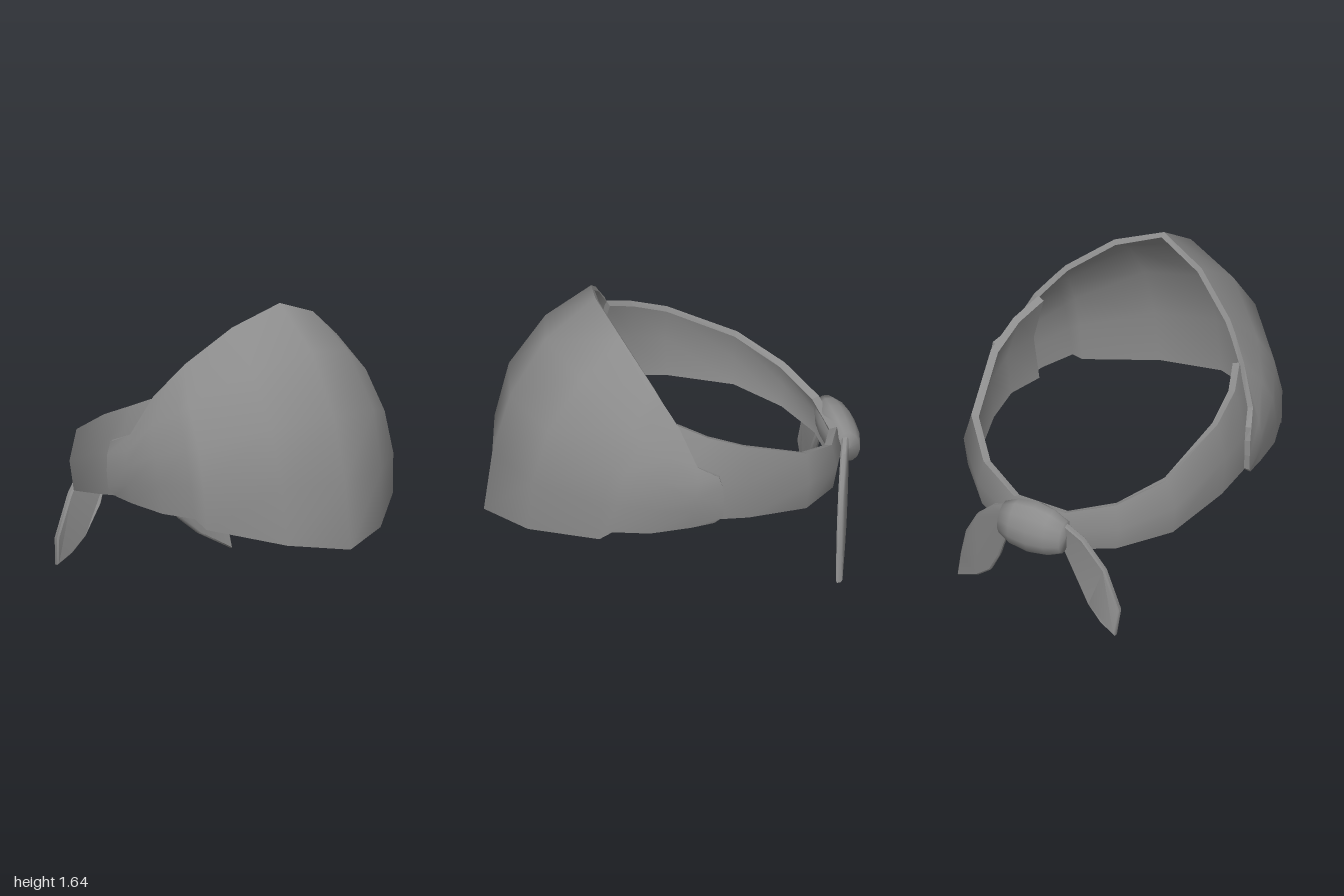
import * as THREE from 'three';
import { mergeGeometries, toCreasedNormals } from 'three/addons/utils/BufferGeometryUtils.js';

const cloth = new THREE.MeshStandardMaterial({ color: 0x8c8c8c });
cloth.name = 'grey cloth';

// Mirror a list of columns across x = 0, keeping the order continuous
const flip = (cols) => cols.map((c) => c.map(([x, y, z]) => [-x, y, z])).reverse();

// Thick cloth from columns of points (each bottom to top), with smooth faces and a sharp hem
function clothSheet(cols, thickness) {
  const rows = cols[0].length;
  const id = (i, j) => i * rows + j;
  const outer = new THREE.BufferGeometry();
  outer.setAttribute('position', new THREE.Float32BufferAttribute(cols.flat(2), 3));
  const index = [];
  for (let i = 0; i < cols.length - 1; i++) {
    for (let j = 0; j < rows - 1; j++) {
      const a = id(i, j), b = id(i + 1, j), c = id(i + 1, j + 1), d = id(i, j + 1);
      index.push(a, b, c, a, c, d);
    }
  }
  outer.setIndex(index);
  outer.computeVertexNormals();

  // Lining, pushed inward along the normals
  const inner = outer.clone();
  const p = inner.attributes.position, n = outer.attributes.normal;
  for (let k = 0; k < p.count; k++) {
    p.setXYZ(k, p.getX(k) - n.getX(k) * thickness, p.getY(k) - n.getY(k) * thickness, p.getZ(k) - n.getZ(k) * thickness);
  }
  inner.setIndex([...index].reverse());
  inner.computeVertexNormals();

  // Hem around all four edges
  const last = cols.length - 1, top = rows - 1, loop = [];
  for (let i = 0; i < last; i++) loop.push(id(i, 0));
  for (let j = 0; j < top; j++) loop.push(id(last, j));
  for (let i = last; i > 0; i--) loop.push(id(i, top));
  for (let j = top; j > 0; j--) loop.push(id(0, j));
  const hemPoints = [];
  const v = (geo, k) => new THREE.Vector3().fromBufferAttribute(geo.attributes.position, k).toArray();
  loop.forEach((k, i) => {
    const m = loop[(i + 1) % loop.length];
    const a = v(outer, k), b = v(inner, k), c = v(inner, m), d = v(outer, m);
    hemPoints.push(...a, ...b, ...c, ...a, ...c, ...d);
  });
  const hem = new THREE.BufferGeometry();
  hem.setAttribute('position', new THREE.Float32BufferAttribute(hemPoints, 3));
  hem.computeVertexNormals();
  return mergeGeometries([outer.toNonIndexed(), inner.toNonIndexed(), hem]);
}

// Leaf-shaped cloth end; zRule bends the flat outline into place
function tail(outline, zRule) {
  const shape = new THREE.Shape(outline.map(([x, y]) => new THREE.Vector2(x, y)));
  const geo = new THREE.ExtrudeGeometry(shape, {
    depth: 0.02, bevelEnabled: true, bevelThickness: 0.008, bevelSize: 0.008, bevelOffset: -0.008, bevelSegments: 1,
  });
  const p = geo.attributes.position;
  for (let k = 0; k < p.count; k++) p.setZ(k, p.getZ(k) - 0.01 + zRule(p.getX(k), p.getY(k)));
  return toCreasedNormals(geo, 0.7);
}

export function createModel() {
  const model = new THREE.Group();
  const add = (name, geo) => {
    const mesh = new THREE.Mesh(geo, cloth);
    mesh.name = name;
    model.add(mesh);
    return mesh;
  };

  // Tall pointed front panel
  const centre = [[0, 0.46, 1], [0, 0.8, 0.955], [0, 1.13, 0.86], [0, 1.44, 0.67], [0, 1.64, 0.4]];
  const half = [
    [[0.3, 0.5, 0.86], [0.32, 0.8, 0.84], [0.33, 1.1, 0.76], [0.31, 1.37, 0.57], [0.26, 1.54, 0.34]],
    [[0.6, 0.57, 0.57], [0.61, 0.78, 0.56], [0.6, 0.99, 0.5], [0.57, 1.19, 0.38], [0.49, 1.36, 0.24]],
    [[0.63, 0.62, 0.51], [0.64, 0.79, 0.49], [0.635, 0.97, 0.44], [0.605, 1.14, 0.34], [0.54, 1.3, 0.21]],
    [[0.7, 0.62, 0.33], [0.715, 0.77, 0.32], [0.715, 0.92, 0.29], [0.69, 1.06, 0.22], [0.625, 1.19, 0.15]],
    [[0.735, 0.635, 0.12], [0.755, 0.74, 0.11], [0.76, 0.83, 0.1], [0.75, 0.91, 0.09], [0.72, 0.99, 0.08]],
    [[0.75, 0.65, 0], [0.77, 0.69, -0.04], [0.775, 0.78, -0.045], [0.775, 0.87, -0.04], [0.77, 0.94, -0.02]],
  ];
  add('frontPanel', clothSheet([...flip(half), centre, ...half], 0.03));

  // Band sloping down around the back
  const side = [
    [[0.67, 0.63, 0.22], [0.685, 0.9, 0.19], [0.6, 1.185, 0.15]],
    [[0.71, 0.645, 0], [0.73, 0.88, -0.01], [0.66, 1.115, 0]],
    [[0.7, 0.61, -0.2], [0.72, 0.83, -0.2], [0.675, 1.03, -0.2]],
    [[0.61, 0.54, -0.54], [0.63, 0.7, -0.55], [0.585, 0.86, -0.55]],
    [[0.4, 0.49, -0.75], [0.42, 0.62, -0.765], [0.395, 0.75, -0.745]],
    [[0.15, 0.46, -0.86], [0.15, 0.57, -0.88], [0.15, 0.68, -0.85]],
  ];
  add('backBand', clothSheet([...side, ...flip(side)], 0.04));

  // Barrel-shaped knot
  const profile = [[0, -0.19], [0.09, -0.18], [0.125, -0.1], [0.14, 0], [0.125, 0.11], [0.09, 0.185], [0, 0.2]];
  const knotGeo = new THREE.LatheGeometry(profile.map(([r, y]) => new THREE.Vector2(r, y)), 12);
  knotGeo.rotateZ(-Math.PI / 2);
  knotGeo.scale(1, 1, 0.7);
  knotGeo.rotateX(0.25);
  add('knot', knotGeo).position.set(0, 0.57, -0.9);

  // Two loose ends hanging from the knot
  add('leftTail', tail(
    [[0.12, 0.6], [0.17, 0.45], [0.22, 0.31], [0.29, 0.18], [0.39, 0.09], [0.55, 0], [0.525, 0.15], [0.485, 0.31], [0.4, 0.46], [0.27, 0.59], [0.18, 0.64]],
    (x) => -0.96 + 0.41 * x));
  add('rightTail', tail(
    [[-0.12, 0.6], [-0.16, 0.47], [-0.21, 0.34], [-0.3, 0.18], [-0.38, 0.1], [-0.47, 0.05], [-0.485, 0.2], [-0.4, 0.42], [-0.28, 0.58], [-0.18, 0.64]],
    (x, y) => -0.88 + 0.12 * Math.min(y, 0.3) - 0.12 * Math.max(y - 0.3, 0)));
  return model;
}
